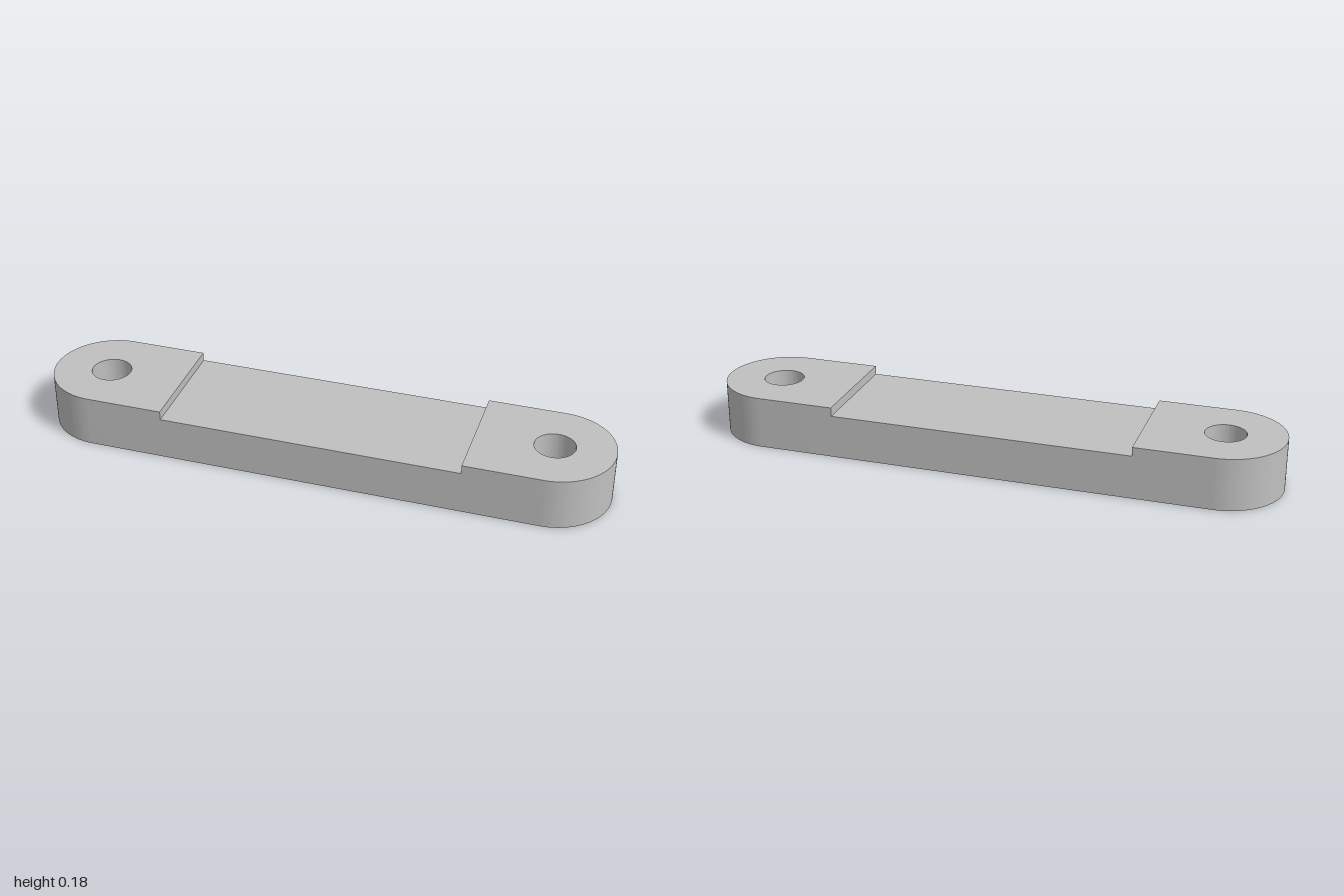
import * as THREE from 'three';
import { toCreasedNormals } from 'three/addons/utils/BufferGeometryUtils.js';

const R = 0.205;        // half width and end radius
const CX = 1 - R;       // hole centre
const HOLE = 0.07;
const STEP = 0.527;     // inner edge of the raised ends
const END_H = 0.183;
const MID_H = 0.152;

// Raised end: rounded tab with a through hole
function endGeometry() {
  const shape = new THREE.Shape();
  shape.moveTo(STEP, -R);
  shape.lineTo(CX, -R);
  shape.absarc(CX, 0, R, -Math.PI / 2, Math.PI / 2, false);
  shape.lineTo(STEP, R);
  shape.closePath();
  const hole = new THREE.Path();
  hole.absarc(CX, 0, HOLE, 0, Math.PI * 2, true);
  shape.holes.push(hole);
  const geo = new THREE.ExtrudeGeometry(shape, { depth: END_H, bevelEnabled: false, curveSegments: 40 });
  geo.rotateX(-Math.PI / 2);
  return toCreasedNormals(geo, 0.5);
}

export function createModel() {
  const group = new THREE.Group();
  group.name = 'linkBar';
  const grey = new THREE.MeshStandardMaterial({ color: 0xc0c0c0 });
  grey.name = 'grey metal';

  // Lower middle span
  const span = new THREE.Mesh(new THREE.BoxGeometry(STEP * 2, MID_H, R * 2), grey);
  span.position.y = MID_H / 2;
  span.name = 'middleSpan';
  group.add(span);

  // Two matching ends
  const geo = endGeometry();
  ['leftEnd', 'rightEnd'].forEach((name, i) => {
    const end = new THREE.Mesh(geo, grey);
    end.rotation.y = i * Math.PI;
    end.name = name;
    group.add(end);
  });
  return group;
}
